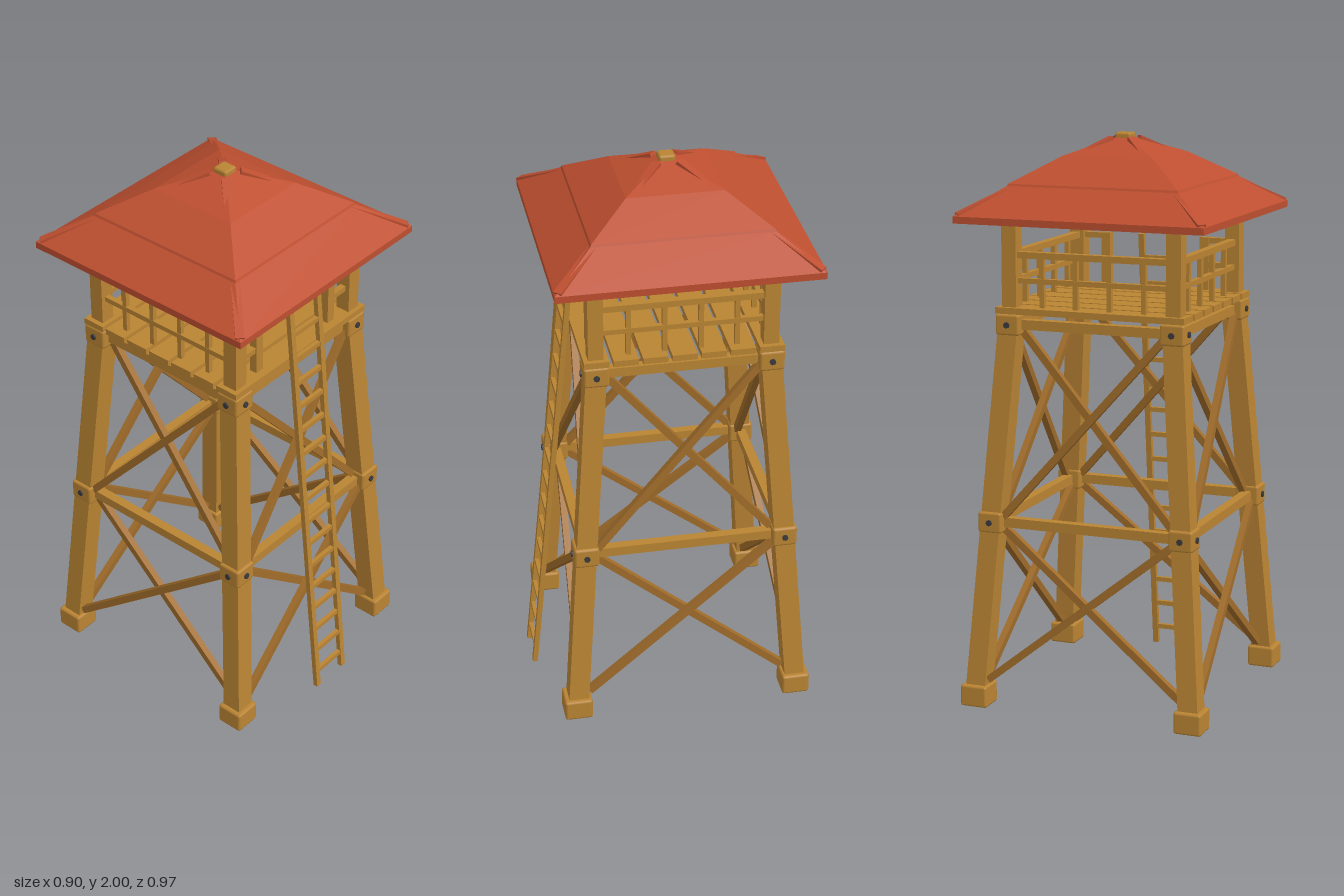
import * as THREE from 'three';
import { RoundedBoxGeometry } from 'three/addons/geometries/RoundedBoxGeometry.js';

const V = (x, y, z) => new THREE.Vector3(x, y, z);

export function createModel() {
  const model = new THREE.Group();
  model.name = 'watchtower';
  const tower = new THREE.Group();
  tower.name = 'tower';
  tower.position.z = -0.033;
  model.add(tower);

  const mat = (name, color, extra = {}) => {
    const m = new THREE.MeshStandardMaterial({ color, ...extra });
    m.name = name;
    return m;
  };
  const wood = mat('wood', 0xba8433);
  const braceWood = mat('braceWood', 0xa06c2a);
  const red = mat('roofRed', 0xbe4f30, { side: THREE.DoubleSide, flatShading: true });
  const iron = mat('darkIron', 0x3b3a3c);

  const add = (name, geo, material, parent, x = 0, y = 0, z = 0) => {
    const mesh = new THREE.Mesh(geo, material);
    mesh.name = name;
    mesh.position.set(x, y, z);
    parent.add(mesh);
    return mesh;
  };
  const box = (name, w, h, d, x, y, z, parent = tower, material = wood) =>
    add(name, new THREE.BoxGeometry(w, h, d), material, parent, x, y, z);
  const block = (name, w, h, d, x, y, z, parent = tower) =>
    add(name, new RoundedBoxGeometry(w, h, d, 1, 0.009), wood, parent, x, y, z);

  // Square-cut timber from a to b, with one face turned towards +z
  const beam = (name, a, b, w, d, parent = tower, material = wood) => {
    const dir = b.clone().sub(a);
    const mesh = add(name, new THREE.BoxGeometry(w, dir.length(), d), material, parent);
    const y = dir.normalize();
    const x = y.clone().cross(V(0, 0, 1)).normalize();
    const z = x.clone().cross(y);
    mesh.quaternion.setFromRotationMatrix(new THREE.Matrix4().makeBasis(x, y, z));
    mesh.position.copy(a).add(b).multiplyScalar(0.5);
    return mesh;
  };

  // Distance of the leaning leg axis from the centre at a given height
  const lean = (y) => 0.403 - 0.075 * y;

  // Corners: foot, leg, bolted joints and roof post
  for (const sx of [-1, 1]) for (const sz of [-1, 1]) {
    block('foot', 0.1, 0.078, 0.1, sx * 0.4, 0.042, sz * 0.4);
    beam('leg', V(sx * lean(0.04), 0.04, sz * lean(0.04)),
      V(sx * lean(1.39), 1.39, sz * lean(1.39)), 0.072, 0.072);
    box('roofPost', 0.053, 0.31, 0.053, sx * 0.3, 1.56, sz * 0.3);
    for (const y of [0.665, 1.357]) {
      const c = lean(y);
      block('joint', 0.088, 0.074, 0.088, sx * c, y, sz * c);
      const boltZ = add('bolt', new THREE.CylinderGeometry(0.011, 0.011, 0.008, 8), iron,
        tower, sx * c, y, sz * (c + 0.046));
      boltZ.rotation.x = Math.PI / 2;
      const boltX = add('bolt', new THREE.CylinderGeometry(0.011, 0.011, 0.008, 8), iron,
        tower, sx * (c + 0.046), y, sz * c);
      boltX.rotation.z = Math.PI / 2;
    }
  }

  // Four sides: ties, crossed braces, railing and roof plate
  for (let i = 0; i < 4; i++) {
    const side = new THREE.Group();
    side.name = ['frontSide', 'leftSide', 'backSide', 'rightSide'][i];
    side.rotation.y = i * Math.PI / 2;
    tower.add(side);

    for (const y of [0.665, 1.357])
      box('tie', lean(y) * 2, 0.034, 0.034, 0, y, lean(y), side);
    for (const [y0, y1] of [[0.1, 0.645], [0.685, 1.345]])
      for (const s of [-1, 1]) {
        const a = lean(y0) - 0.04, b = lean(y1) - 0.03;
        const off = s * 0.012;
        beam('brace', V(-s * a, y0, lean(y0) + off), V(s * b, y1, lean(y1) + off),
          0.026, 0.024, side, braceWood);
      }

    if (i === 0) {
      // Front railing leaves a gap for the ladder
      for (const s of [-1, 1]) {
        box('gatePost', 0.034, 0.19, 0.028, s * 0.19, 1.513, 0.3, side);
        for (const y of [1.597, 1.508])
          box('shortRail', 0.1, 0.02, 0.022, s * 0.235, y, 0.3, side);
      }
    } else {
      box('topRail', 0.56, 0.022, 0.028, 0, 1.597, 0.3, side);
      box('midRail', 0.56, 0.018, 0.02, 0, 1.508, 0.3, side);
      for (const k of [-1.5, -0.5, 0.5, 1.5])
        box('baluster', 0.017, 0.18, 0.017, k * 0.124, 1.507, 0.3, side);
    }
    box('roofPlate', 0.69, 0.035, 0.05, 0, 1.72, 0.3, side);
  }

  // Floor planks
  for (let k = -3; k <= 3; k++)
    box('floorPlank', 0.69, 0.022, 0.086, 0, 1.406, k * 0.1);

  // Stepped pyramid roof, each ring a square section [half width, height]
  const profile = [
    [0.43, 1.712], [0.45, 1.712], [0.45, 1.736], [0.311, 1.83],
    [0.307, 1.838], [0.167, 1.925], [0.02, 1.985], [0, 1.985],
  ];
  const ring = ([r, y]) => [V(-r, y, r), V(r, y, r), V(r, y, -r), V(-r, y, -r)];
  const pts = [];
  for (let i = 0; i < profile.length - 1; i++) {
    const lo = ring(profile[i]), hi = ring(profile[i + 1]);
    for (let k = 0; k < 4; k++) {
      const n = (k + 1) % 4;
      pts.push(lo[k], lo[n], hi[n], lo[k], hi[n], hi[k]);
    }
  }
  const roofGeo = new THREE.BufferGeometry().setFromPoints(pts);
  roofGeo.computeVertexNormals();
  add('roof', roofGeo, red, tower);

  // Straight hip rafters showing at the eaves and near the peak
  for (const sx of [-1, 1]) for (const sz of [-1, 1]) {
    const hip = beam('hipRafter', V(sx * 0.437, 1.734, sz * 0.437),
      V(sx * 0.035, 1.975, sz * 0.035), 0.03, 0.026, tower, red);
    const y = V(sx * -0.402, 0.241, sz * -0.402).normalize();
    const x = y.clone().cross(V(0, 1, 0)).normalize();
    hip.quaternion.setFromRotationMatrix(
      new THREE.Matrix4().makeBasis(x, y, x.clone().cross(y)));
  }
  block('peakCap', 0.058, 0.034, 0.058, 0, 1.983, 0);

  // Ladder leaning on the front
  const ladder = new THREE.Group();
  ladder.name = 'ladder';
  model.add(ladder);
  const ladderZ = (y) => 0.475 - 0.102 * y;
  for (const s of [-1, 1])
    beam('ladderRail', V(s * 0.072, 0.002, ladderZ(0)), V(s * 0.072, 1.603, ladderZ(1.603)),
      0.021, 0.018, ladder);
  for (let k = 0; k < 16; k++) {
    const y = 0.068 + k * 0.0965;
    box('rung', 0.13, 0.017, 0.015, 0, y, ladderZ(y), ladder);
  }
  return model;
}
